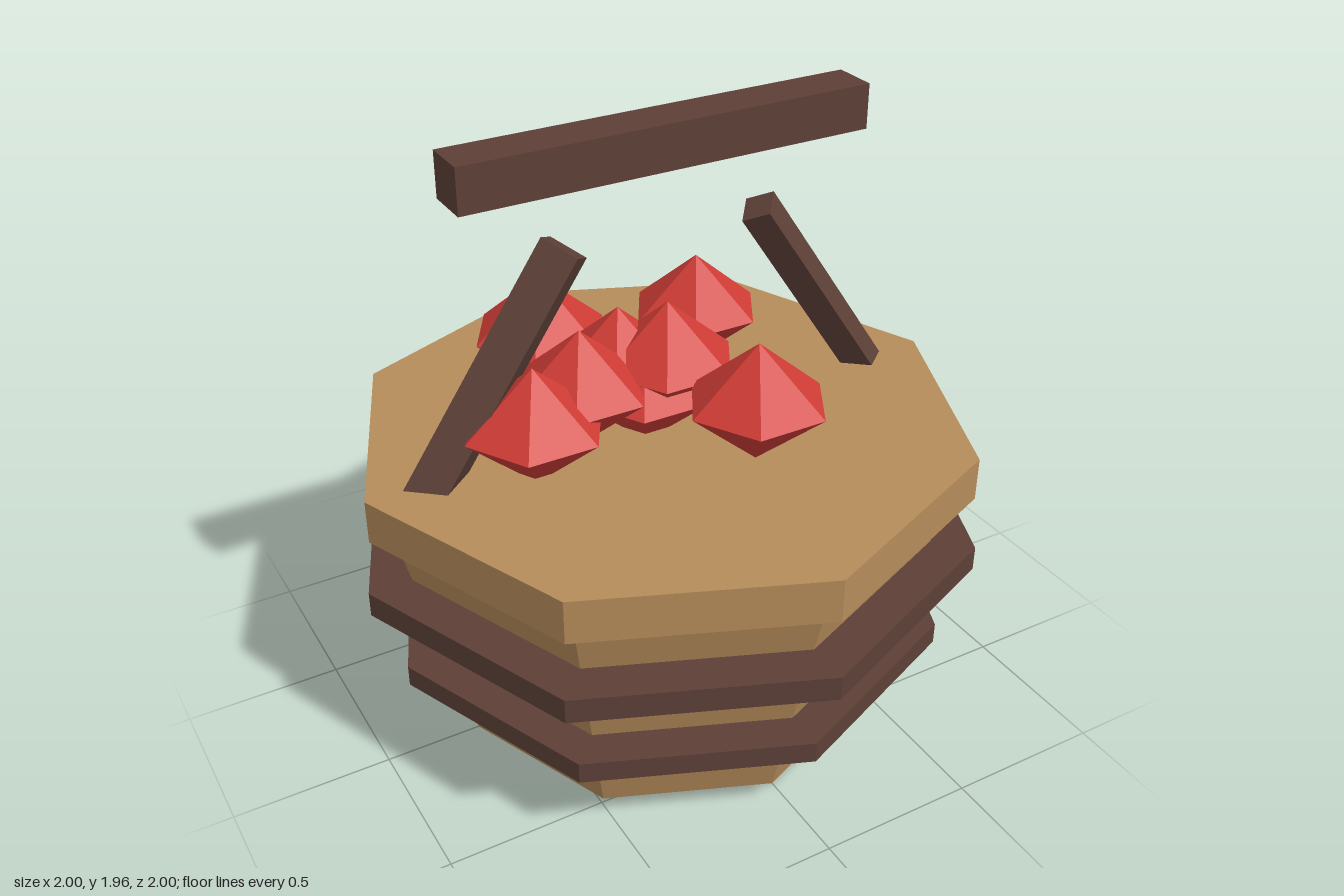
import * as THREE from 'three';

export function createModel() {
  const model = new THREE.Group();
  const mat = (name, color) => {
    const m = new THREE.MeshStandardMaterial({ color, flatShading: true });
    m.name = name;
    return m;
  };
  const wood = mat('light wood', 0xb58c5a);
  const darkWood = mat('dark wood', 0x5d4037);
  const red = mat('apple red', 0xd03c36);

  const add = (name, geometry, material, x, y, z) => {
    const mesh = new THREE.Mesh(geometry, material);
    mesh.name = name;
    mesh.position.set(x, y, z);
    model.add(mesh);
    return mesh;
  };

  // Eight-sided band between two heights
  const band = (name, rTop, rBottom, y0, y1, material) =>
    add(name, new THREE.CylinderGeometry(rTop, rBottom, y1 - y0, 8), material, 0, (y0 + y1) / 2, 0);

  // Basket: tapered body, rim and two hoops
  band('basketBody', 0.925, 0.69, 0, 0.9, wood);
  band('rim', 0.98, 0.98, 0.84, 0.98, wood);
  band('lowerHoop', 0.905, 0.905, 0.27, 0.34, darkWood);
  band('upperHoop', 1, 1, 0.58, 0.66, darkWood);

  // Four-sided handle post between two points in the x-y plane
  const post = (name, r, x0, y0, x1, y1) => {
    const length = Math.hypot(x1 - x0, y1 - y0);
    const mesh = add(name, new THREE.CylinderGeometry(r, r, length, 4), darkWood,
      (x0 + x1) / 2, (y0 + y1) / 2, 0);
    mesh.rotation.z = -Math.atan2(x1 - x0, y1 - y0);
  };
  post('rightHandlePost', 0.086, -0.888, 0.79, -0.32, 1.626);
  post('leftHandlePost', 0.066, 0.882, 0.793, 0.33, 1.613);

  // Grip floating above the posts
  add('handleGrip', new THREE.BoxGeometry(1.32, 0.14, 0.145), darkWood, 0, 1.89, 0);

  // Apples: six-sided faceted drops
  const appleGeometry = new THREE.SphereGeometry(0.22, 6, 2).scale(1, 0.88, 1);
  [
    [-0.24, 1.175, -0.36],
    [0.355, 1.09, -0.4],
    [0.12, 1.172, 0.35],
    [-0.475, 1.125, 0.083],
    [-0.28, 1.155, -0.005],
    [-0.1, 1.145, -0.1],
    [0.02, 1.175, -0.005],
    [-0.06, 1.1, 0],
  ].forEach(([x, y, z]) => add('apple', appleGeometry, red, x, y, z));

  return model;
}
